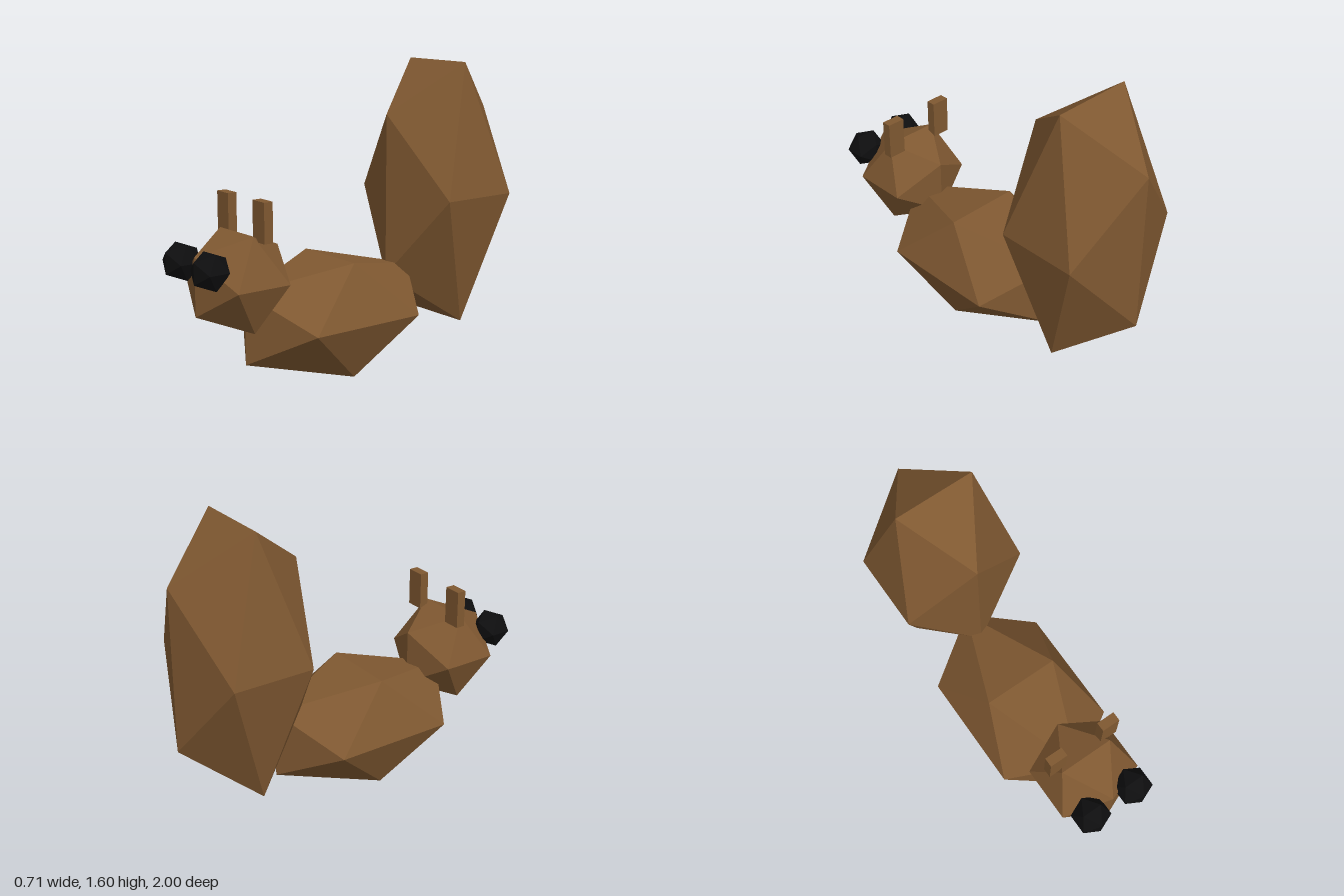
import * as THREE from 'three';

export function createModel() {
  const fur = new THREE.MeshStandardMaterial({ color: 0x7f5831, flatShading: true, name: 'brown fur' });
  const black = new THREE.MeshStandardMaterial({ color: 0x0e0e0f, flatShading: true, name: 'eye black' });
  const model = new THREE.Group();
  model.name = 'squirrel';

  function add(name, geometry, material, x, y, z) {
    const mesh = new THREE.Mesh(geometry, material);
    mesh.name = name;
    mesh.position.set(x, y, z);
    model.add(mesh);
  }

  // Twenty-sided lump stretched to the given radii
  const lump = (rx, ry, rz) => new THREE.IcosahedronGeometry(1, 0).scale(rx, ry, rz);

  add('body', lump(0.4, 0.358, 0.626), fur, 0, 0.305, 0.098);
  add('head', lump(0.287, 0.287, 0.287), fur, 0, 0.57, 0.673);
  add('tail', lump(0.42, 0.838, 0.42), fur, 0, 0.887, -0.643);

  // Mirrored ears and eyes
  for (const [side, s] of [['left', 1], ['right', -1]]) {
    add(side + 'Ear', new THREE.BoxGeometry(0.1, 0.205, 0.05), fur, s * 0.16, 0.887, 0.624);
    add(side + 'Eye', lump(0.105, 0.105, 0.105), black, s * 0.133, 0.676, 0.911);
  }
  return model;
}
